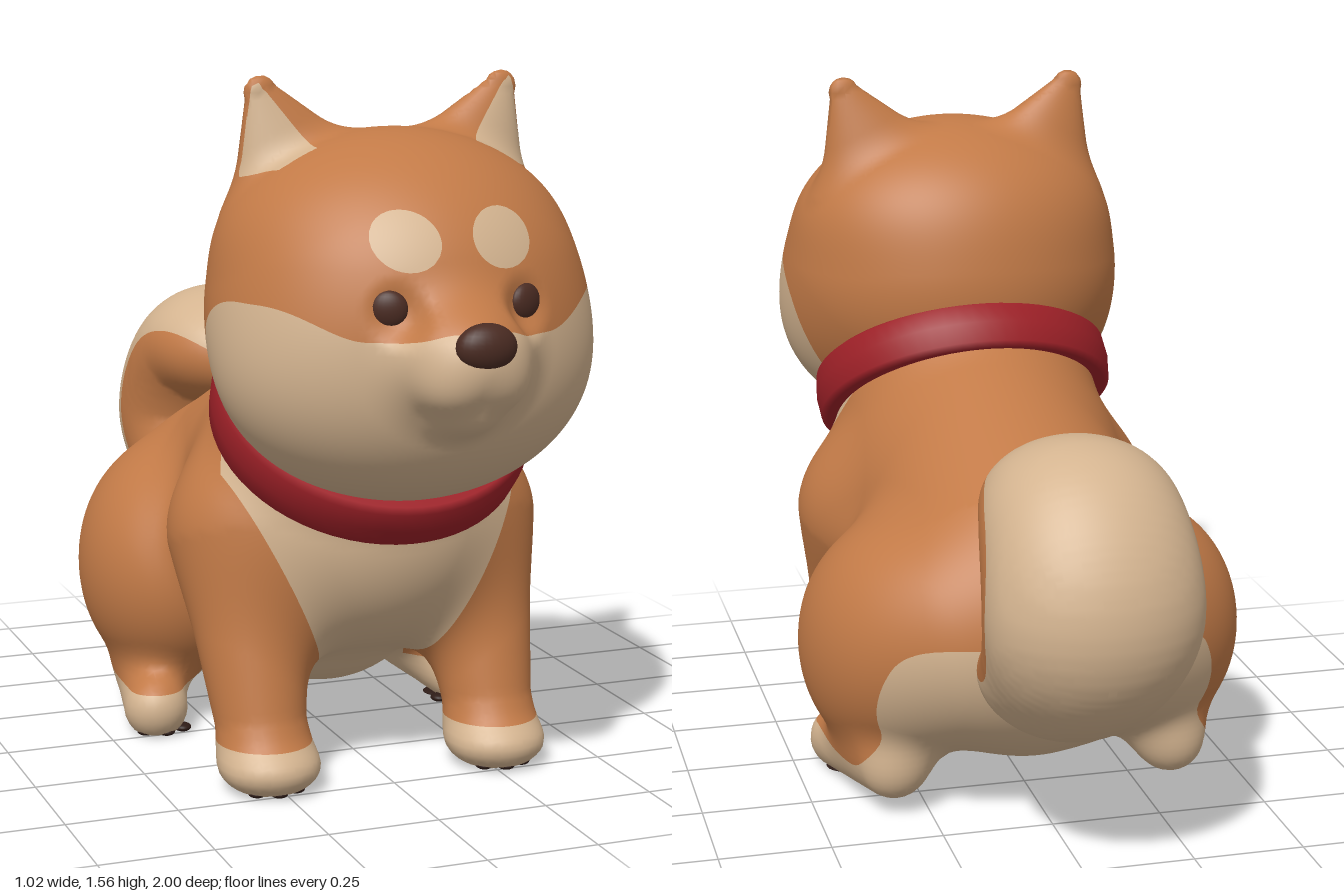
import * as THREE from 'three';

const material = (name, color) => Object.assign(new THREE.MeshStandardMaterial({ color }), { name });
const orangeFur = material('orangeFur', 0xc27a47);
const creamFur = material('creamFur', 0xd4b490);
const collarRed = material('collarRed', 0x9c2027);
const darkBrown = material('darkBrown', 0x4a2b22);
const padBrown = material('padBrown', 0x2e1c17);

// ---- soft shapes, as distances from a point p = [x, y, z] ----
const ball = (p, c, r) => {
  const x = (p[0] - c[0]) / r[0], y = (p[1] - c[1]) / r[1], z = (p[2] - c[2]) / r[2];
  const k = Math.hypot(x, y, z);
  return k * (k - 1) / (Math.hypot(x / r[0], y / r[1], z / r[2]) + 1e-9);
};
const limb = (p, a, b, ra, rb) => {
  const d = [b[0] - a[0], b[1] - a[1], b[2] - a[2]];
  const e = [p[0] - a[0], p[1] - a[1], p[2] - a[2]];
  const dot = e[0] * d[0] + e[1] * d[1] + e[2] * d[2];
  const t = Math.min(1, Math.max(0, dot / (d[0] ** 2 + d[1] ** 2 + d[2] ** 2)));
  return Math.hypot(e[0] - d[0] * t, e[1] - d[1] * t, e[2] - d[2] * t) - ra - (rb - ra) * t;
};
const blend = (a, b, k) => Math.min(a, b) - Math.max(k - Math.abs(a - b), 0) ** 2 / (4 * k);
const blendMax = (a, b, k) => -blend(-a, -b, k);
const smooth = (x, a, b) => THREE.MathUtils.smoothstep(x, a, b);

// ---- head: skull, crown, jaw, muzzle, lips, chin, eye sockets and ears ----
function headShape(q) {
  const p = [Math.abs(q[0]), q[1], q[2]];
  let d = ball(p, [0, 1.07, 0.49], [0.412, 0.365, 0.373]);
  d = blend(d, ball(p, [0, 1.2, 0.45], [0.375, 0.232, 0.29]), 0.05);
  d = blend(d, ball(p, [0, 0.955, 0.55], [0.405, 0.295, 0.305]), 0.07);
  d = blend(d, ball(p, [0, 1.01, 0.855], [0.13, 0.108, 0.13]), 0.09);
  d = blend(d, ball(p, [0.045, 0.965, 0.9], [0.055, 0.05, 0.055]), 0.045);
  d = blend(d, ball(p, [0, 0.9, 0.86], [0.05, 0.035, 0.055]), 0.06);
  d = blendMax(d, -ball(p, [0.152, 1.115, 0.875], [0.05, 0.05, 0.05]), 0.04);
  const flat = [p[0], p[1], 0.405 + (p[2] - 0.405) * 1.9];
  return blend(d, limb(flat, [0.195, 1.34, 0.405], [0.276, 1.52, 0.41], 0.155, 0.036), 0.05);
}
function headCream([sx, y, z]) {
  const x = Math.abs(sx);
  const line = 1.05 + 0.06 * smooth(x, 0.2, 0.37) + 0.025 * (1 - smooth(x, 0.05, 0.15));
  const cheeks = blend(line - y, z - 0.385 - 1.5 * Math.max(0, y - 0.85) ** 2, 0.12);
  const brow = Math.min(0.06 * (1 - Math.hypot((x - 0.105) / 0.07, (y - 1.245) / 0.06)), z - 0.6);
  const sides = blend(0.804 * (x - 0.178) - 0.595 * (y - 1.4), -0.974 * (x - 0.343) - 0.225 * (y - 1.34), 0.02);
  const ear = Math.min(sides, 0.324 * (x - 0.17) + 0.946 * (y - 1.4), z - 0.418, 0.51 - z);
  return Math.max(cheeks, brow, ear);
}

// ---- body: torso, chest, belly, hips, thighs, legs and paws ----
function bodyShape(q) {
  const p = [Math.abs(q[0]), q[1], q[2]];
  let d = limb(p, [0, 0.72, 0.25], [0, 0.44, -0.22], 0.29, 0.36);
  d = blend(d, ball(p, [0, 0.58, 0.21], [0.365, 0.34, 0.34]), 0.06);
  d = blend(d, ball(p, [0, 0.8, 0.33], [0.3, 0.28, 0.28]), 0.06);
  d = blend(d, ball(p, [0, 0.39, -0.03], [0.28, 0.285, 0.36]), 0.05);
  d = blend(d, ball(p, [0.12, 0.42, -0.295], [0.305, 0.28, 0.28]), 0.04);
  d = blend(d, ball(p, [0.31, 0.355, -0.195], [0.2, 0.265, 0.25]), 0.1);
  d = blend(d, limb(p, [0.387, 0.062, -0.028], [0.325, 0.11, -0.33], 0.074, 0.078), 0.08);
  const foreLeg = limb(p, [0.27, 0.53, 0.25], [0.272, 0.13, 0.39], 0.152, 0.1);
  d = blend(d, blend(foreLeg, ball(p, [0.27, 0.055, 0.44], [0.112, 0.064, 0.11]), 0.06), 0.13);
  return Math.max(d, 0.004 - p[1]);
}
function bodyCream([sx, y, z]) {
  const x = Math.abs(sx);
  const flank = z - Math.min(0.45, 0.3 + 0.75 * (0.74 - y));
  const bib = Math.min(0.14 + 0.5 * (y - 0.28) - x, z - 0.2, Math.max(flank, 0.25 - x));
  const underside = blend(0.385 - y, 0.3 - 0.57 * (y - 0.2) - z, 0.08);
  const belly = Math.min(underside, Math.max(z - 0.06, 0.26 - x));
  const rear = blend(-0.36 - 0.42 * (y - 0.1) - z, 0.45 - y, 0.06);
  return Math.max(bib, belly, blendMax(rear, 0.105 - y, 0.08));
}

// ---- tail: a fat curl; each path point is (radius, y, z) ----
const curl = new THREE.CatmullRomCurve3([
  [0.11, 0.38, -0.43], [0.156, 0.437, -0.68], [0.188, 0.6, -0.812], [0.17, 0.772, -0.73],
  [0.125, 0.79, -0.585], [0.065, 0.765, -0.505],
].map(v => new THREE.Vector3(...v))).getPoints(80);
function tailShape([x, y, z]) {
  const wide = x / (1.24 + 0.15 * smooth(z, -0.8, -0.55));
  let d = 9;
  for (let i = 1; i < curl.length; i++) {
    const a = curl[i - 1], b = curl[i];
    d = Math.min(d, limb([wide, y, z], [0, a.y, a.z], [0, b.y, b.z], a.x, b.x));
  }
  return d;
}
const tailCream = ([x, y, z]) => Math.hypot(y - 0.63, z + 0.59) - 0.213 - 0.25 * x * x;

// Wraps a grid skin around a shape, and cuts it in two colours where cream = 0
function sculpt(name, shape, cream, min, max, step) {
  const n = min.map((m, i) => Math.ceil((max[i] - m) / step) + 1);
  const id = (i, j, k) => (i * n[1] + j) * n[2] + k;
  const at = (i, j, k) => [min[0] + i * step, min[1] + j * step, min[2] + k * step];
  const value = new Float32Array(n[0] * n[1] * n[2]);
  const each = f => {
    for (let i = 0; i < n[0]; i++) for (let j = 0; j < n[1]; j++) for (let k = 0; k < n[2]; k++) f(i, j, k);
  };
  each((i, j, k) => { value[id(i, j, k)] = shape(at(i, j, k)); });

  const slope = p => [0, 1, 2].map(a => {
    const u = [...p], v = [...p];
    u[a] += 0.004; v[a] -= 0.004;
    return (shape(u) - shape(v)) / 0.008;
  });
  const cache = new Map();
  const corner = c => {
    const key = id(...c);
    if (!cache.has(key)) {
      let p = at(c[0] + 0.5, c[1] + 0.5, c[2] + 0.5);
      for (let s = 0; s < 4; s++) {
        const g = slope(p), m = g[0] ** 2 + g[1] ** 2 + g[2] ** 2 + 1e-6;
        const move = THREE.MathUtils.clamp(shape(p) / m, -step, step);
        p = p.map((v, a) => v - g[a] * move);
      }
      const g = slope(p), l = Math.hypot(...g) || 1;
      cache.set(key, [...p, ...g.map(v => v / l), cream(p)]);
    }
    return cache.get(key);
  };

  const skins = [[], []];
  const addTriangle = tri => [1, -1].forEach((sign, s) => {
    const poly = [];
    tri.forEach((a, i) => {
      const b = tri[(i + 1) % 3];
      if (a[6] * sign > 0 || (a[6] === 0 && sign > 0)) poly.push(a);
      if (a[6] * b[6] < 0) poly.push(a.map((v, m) => v + (b[m] - v) * a[6] / (a[6] - b[6])));
    });
    for (let i = 2; i < poly.length; i++) skins[s].push(poly[0], poly[i - 1], poly[i]);
  });
  each((i, j, k) => {
    const c = [i, j, k];
    for (let a = 0; a < 3; a++) {
      const next = [...c];
      next[a]++;
      if (next[a] >= n[a] || Math.min(c[(a + 1) % 3], c[(a + 2) % 3]) < 1) continue;
      const inside = value[id(...c)] < 0;
      if (inside === value[id(...next)] < 0) continue;
      const quad = [[0, 0], [1, 0], [1, 1], [0, 1]].map(([u, v]) => {
        const cell = [...c];
        cell[(a + 1) % 3] -= u; cell[(a + 2) % 3] -= v;
        return corner(cell);
      });
      if (!inside) quad.reverse();
      addTriangle([quad[0], quad[1], quad[2]]);
      addTriangle([quad[0], quad[2], quad[3]]);
    }
  });

  const all = skins.flat(), geometry = new THREE.BufferGeometry();
  geometry.setAttribute('position', new THREE.Float32BufferAttribute(all.flatMap(v => v.slice(0, 3)), 3));
  geometry.setAttribute('normal', new THREE.Float32BufferAttribute(all.flatMap(v => v.slice(3, 6)), 3));
  geometry.addGroup(0, skins[0].length, 0);
  geometry.addGroup(skins[0].length, skins[1].length, 1);
  const mesh = new THREE.Mesh(geometry, [creamFur, orangeFur]);
  mesh.name = name;
  return mesh;
}

function pebble(name, mat, position, radii) {
  const mesh = new THREE.Mesh(new THREE.SphereGeometry(1, 24, 16), mat);
  mesh.name = name;
  mesh.position.set(...position);
  mesh.scale.set(...radii);
  return mesh;
}

export function createModel() {
  const model = new THREE.Group();
  model.name = 'puppy';
  model.add(
    sculpt('head', headShape, headCream, [-0.5, 0.6, 0.05], [0.5, 1.62, 1.05], 0.016),
    sculpt('bodyAndLegs', bodyShape, bodyCream, [-0.6, -0.04, -0.68], [0.6, 1.14, 0.68], 0.018),
    sculpt('tail', tailShape, tailCream, [-0.3, 0.2, -1.06], [0.3, 1.0, -0.28], 0.018),
    pebble('nose', darkBrown, [0, 1.05, 0.962], [0.065, 0.049, 0.037]),
    pebble('tailPatch', collarRed, [0, 0.583, -0.605], [0.14, 0.04, 0.022]),
  );

  // Collar: a rounded band tilted around the neck
  const band = [[0.24, -0.058], [0.325, -0.06], [0.339, -0.048], [0.344, 0], [0.339, 0.048], [0.325, 0.058], [0.24, 0.055]];
  const collar = new THREE.Mesh(new THREE.LatheGeometry(band.map(v => new THREE.Vector2(...v)), 64), collarRed);
  collar.name = 'collar';
  collar.position.set(0, 0.81, 0.353);
  collar.rotation.x = 0.657;
  collar.scale.x = 1.05;
  model.add(collar);

  for (const side of [1, -1]) {
    // Eyes rest on the face surface
    let z = 1.1;
    for (let i = 0; i < 60; i++) z -= headShape([0.15, 1.113, z]) * 0.7;
    const eye = pebble('eye', darkBrown, [side * 0.15, 1.113, z - 0.002], [0.04, 0.039, 0.02]);
    eye.rotation.y = side * 0.4;
    model.add(eye);

    // Paw pads: one large, three toes
    for (const [name, x, front] of [['frontPad', 0.27, 0.495], ['hindPad', 0.372, 0.0]]) {
      model.add(pebble(name, padBrown, [side * x, 0.007, front - 0.07], [0.06, 0.007, 0.046]));
      for (const t of [-1, 0, 1]) {
        model.add(pebble(name + 'Toe', padBrown,
          [side * x + t * 0.045, 0.01, front + 0.005 - Math.abs(t) * 0.018], [0.02, 0.01, 0.022]));
      }
    }
  }
  return model;
}
